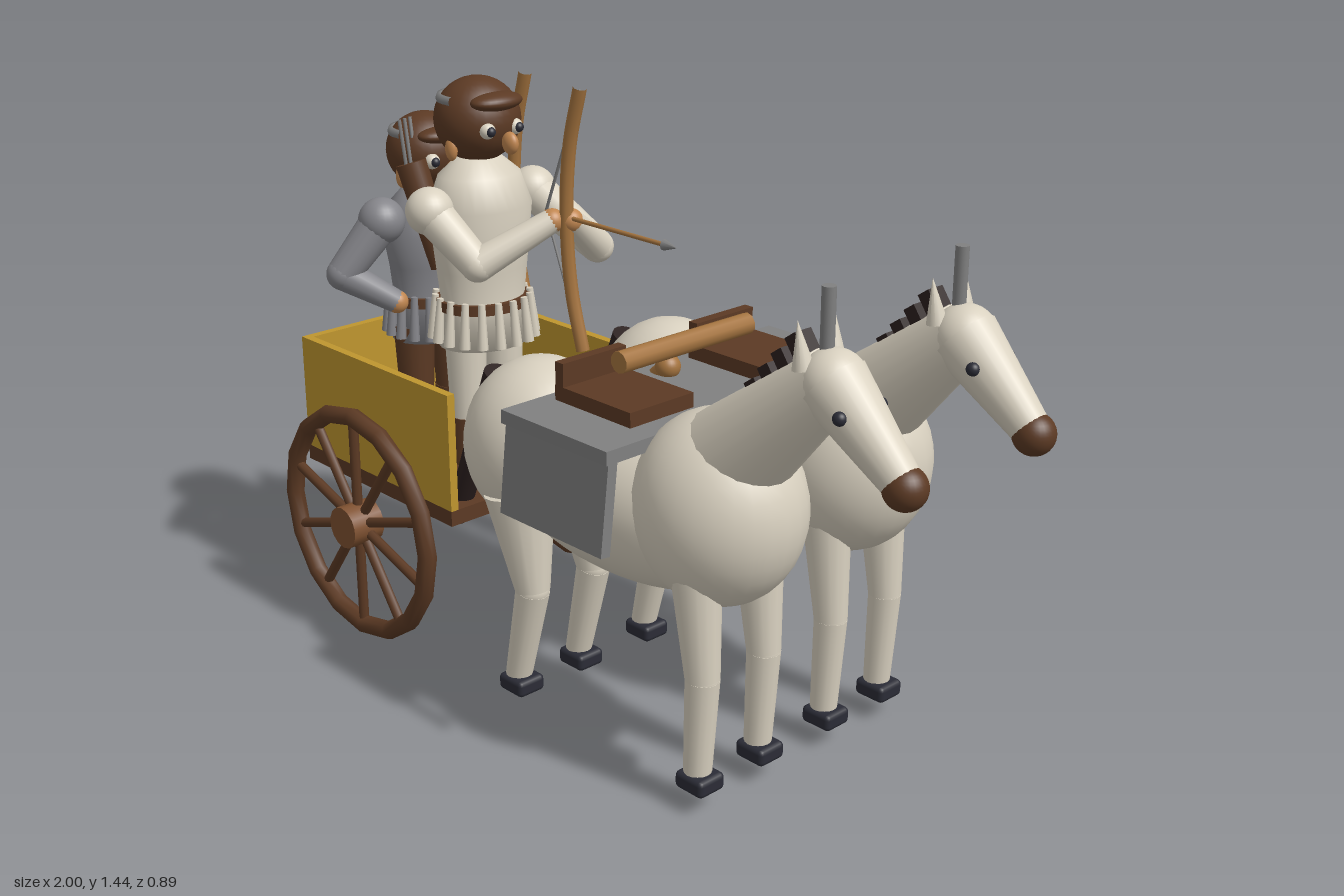
import * as THREE from 'three';
import { RoundedBoxGeometry } from 'three/addons/geometries/RoundedBoxGeometry.js';

const mat = (name, color) => {
  const m = new THREE.MeshStandardMaterial({ color });
  m.name = name;
  return m;
};
const M = {
  cream: mat('cream', 0xd9d1c0), brown: mat('brown', 0x5c3a24), hub: mat('hub brown', 0x7f5130),
  dark: mat('hoof', 0x2b2c36), mane: mat('mane', 0x2b1f1e), grey: mat('tunic grey', 0x85858a),
  cloth: mat('cloth grey', 0x808080), yellow: mat('ochre', 0xbf962f), wood: mat('light wood', 0xa5743f),
  skin: mat('skin', 0xc08650),
};
const V = (a) => new THREE.Vector3(...a);

function add(parent, name, geo, material, pos = [0, 0, 0], rot = [0, 0, 0]) {
  const m = new THREE.Mesh(geo, material);
  m.name = name;
  m.position.set(...pos);
  m.rotation.set(...rot);
  parent.add(m);
  return m;
}
const box = (p, n, m, size, pos, rot) => add(p, n, new THREE.BoxGeometry(...size), m, pos, rot);
function ball(p, n, m, pos, r) {
  const s = Array.isArray(r) ? r : [r, r, r];
  const b = add(p, n, new THREE.SphereGeometry(1, 28, 18), m, pos);
  b.scale.set(...s);
  return b;
}
// Tapered cylinder from point a to point b
function rod(p, n, m, a, b, ra, rb = ra, sides = 16) {
  const A = V(a), B = V(b), d = B.clone().sub(A);
  const r = add(p, n, new THREE.CylinderGeometry(rb, ra, d.length(), sides), m, A.clone().add(B).multiplyScalar(0.5).toArray());
  r.quaternion.setFromUnitVectors(new THREE.Vector3(0, 1, 0), d.normalize());
  return r;
}
const tube = (p, n, m, pts, r) =>
  add(p, n, new THREE.TubeGeometry(new THREE.CatmullRomCurve3(pts.map(V)), 24, r, 8), m);

function makeHorse(z) {
  const g = new THREE.Group();
  g.name = 'horse';
  g.position.z = z;
  // Body
  ball(g, 'rump', M.cream, [-0.12, 0.67, 0], [0.195, 0.21, 0.183]);
  ball(g, 'barrel', M.cream, [0.19, 0.64, 0], [0.42, 0.19, 0.18]);
  ball(g, 'chest', M.cream, [0.46, 0.69, 0], [0.2, 0.22, 0.186]);
  // Neck and head
  rod(g, 'neck', M.cream, [0.47, 0.79, 0], [0.765, 1.06, 0], 0.125, 0.068, 20);
  ball(g, 'poll', M.cream, [0.765, 1.05, 0], 0.072);
  rod(g, 'head', M.cream, [0.765, 1.05, 0], [0.95, 0.89, 0], 0.075, 0.042, 20);
  ball(g, 'muzzle', M.brown, [0.955, 0.885, 0], 0.047);
  for (let i = 0; i < 6; i++) {
    const t = i / 5;
    box(g, 'maneTuft', M.mane, [0.033, 0.062, 0.048], [0.505 + 0.18 * t, 0.9 + 0.205 * t, 0], [0, 0, 0.62]);
  }
  rod(g, 'plume', M.cloth, [0.745, 1.08, 0], [0.745, 1.245, 0], 0.015);
  // Tail
  rod(g, 'tail', M.mane, [-0.28, 0.8, 0], [-0.46, 0.38, 0], 0.036, 0.028);
  ball(g, 'tailTip', M.mane, [-0.46, 0.38, 0], 0.031);
  for (const s of [-1, 1]) {
    ball(g, 'eye', M.dark, [0.835, 1.01, s * 0.06], 0.015);
    add(g, 'ear', new THREE.ConeGeometry(0.024, 0.1, 12), M.cream, [0.72, 1.13, s * 0.05], [s * 0.08, 0, 0.12]);
    const w = s * 0.096;
    // Front leg
    rod(g, 'frontThigh', M.cream, [0.485, 0.6, w], [0.51, 0.33, w], 0.058, 0.039);
    ball(g, 'frontKnee', M.cream, [0.51, 0.33, w], 0.038);
    rod(g, 'frontShin', M.cream, [0.51, 0.33, w], [0.498, 0.09, w], 0.039, 0.032);
    add(g, 'frontHoof', new RoundedBoxGeometry(0.085, 0.042, 0.078, 2, 0.012), M.dark, [0.505, 0.077, w]);
    // Hind leg
    rod(g, 'hindThigh', M.cream, [-0.095, 0.58, w], [-0.055, 0.34, w], 0.085, 0.042);
    ball(g, 'hindKnee', M.cream, [-0.055, 0.34, w], 0.04);
    rod(g, 'hindShin', M.cream, [-0.055, 0.34, w], [-0.115, 0.09, w], 0.041, 0.032);
    add(g, 'hindHoof', new RoundedBoxGeometry(0.085, 0.042, 0.078, 2, 0.012), M.dark, [-0.105, 0.077, w]);
  }
  // Saddle pad with back board
  box(g, 'saddlePad', M.brown, [0.245, 0.035, 0.19], [0.16, 0.86, 0]);
  box(g, 'saddleBoard', M.brown, [0.026, 0.09, 0.19], [0.052, 0.888, 0]);
  return g;
}

function makeWheel(s) {
  const g = new THREE.Group();
  g.name = 'wheel';
  g.position.set(-0.685, 0.323, s * 0.357);
  const rimGeo = new THREE.TorusGeometry(0.29, 0.024, 8, 16);
  add(g, 'rim', rimGeo, M.brown);
  for (let i = 0; i < 10; i++) {
    const a = Math.PI / 2 + (i * Math.PI) / 5;
    rod(g, 'spoke', M.brown, [0, 0, 0], [Math.cos(a) * 0.285, Math.sin(a) * 0.285, 0], 0.013, 0.013, 8);
  }
  add(g, 'hub', new THREE.CylinderGeometry(0.055, 0.055, 0.09, 14), M.hub, [0, 0, s * 0.005], [Math.PI / 2, 0, 0]);
  return g;
}

// Bow stave, curved in the xy plane
const bow = (p, x, z) => tube(p, 'bow', M.wood,
  [[x, 1.445, z], [x - 0.04, 1.3, z], [x - 0.055, 1.12, z], [x - 0.04, 0.94, z], [x, 0.79, z]], 0.017);

// Standing figure facing +x: c = clothes, h = head centre height, w = waist height
function makeRider(name, x, c, h, w, r, hr, arms) {
  const g = new THREE.Group();
  g.name = name;
  const top = h - hr;
  // Torso and skirt, slightly flattened front to back
  const prof = [[0, w - 0.12], [r * 0.95, w - 0.12], [r * 0.88, w], [r * 0.95, w + 0.08], [r * 1.08, top - 0.11], [r * 0.85, top - 0.03], [0.05, top + 0.02], [0, top + 0.02]];
  const torso = add(g, 'torso', new THREE.LatheGeometry(prof.map((q) => new THREE.Vector2(...q)), 28), c, [x, 0, 0]);
  torso.scale.x = 0.82;
  const belt = add(g, 'belt', new THREE.CylinderGeometry(r * 0.96, r * 0.96, 0.026, 28), M.brown, [x, w - 0.01, 0]);
  belt.scale.x = 0.88;
  for (let i = 0; i < 18; i++) {
    const a = (i / 18) * Math.PI * 2, dx = Math.cos(a), dz = Math.sin(a);
    rod(g, 'skirtTassel', c, [x + dx * r * 1.02, w - 0.105, dz * r * 1.02], [x + dx * r * 0.93, w + 0.01, dz * r * 0.93], 0.014, 0.009, 8);
  }
  // Head and face
  ball(g, 'neck', M.skin, [x, top, 0], 0.05);
  ball(g, 'head', M.brown, [x, h, 0], [hr, hr, hr * 1.04]);
  const band = add(g, 'headband', new THREE.TorusGeometry(hr * 0.87, 0.009, 6, 28, Math.PI * 1.1), M.cloth, [x, h + hr * 0.5, 0], [Math.PI / 2, 0, Math.PI * 0.45]);
  band.scale.z = 1.5;
  ball(g, 'fringe', M.brown, [x + hr * 0.72, h + hr * 0.5, 0], [hr * 0.42, hr * 0.22, hr * 0.7]);
  ball(g, 'nose', M.skin, [x + hr + 0.02, h - hr * 0.4, 0], [0.025, 0.028, 0.017]);
  for (const s of [-1, 1]) {
    ball(g, 'eyeWhite', M.cream, [x + hr * 0.87, h - 0.012, s * 0.043], 0.02);
    ball(g, 'pupil', M.dark, [x + hr * 0.87 + 0.014, h - 0.012, s * 0.044], 0.0125);
    ball(g, 'ear', M.skin, [x + 0.01, h - hr * 0.58, s * hr * 0.86], [0.018, 0.03, 0.014]);
    // Legs and boots
    rod(g, 'leg', c === M.cream ? c : M.brown, [x, 0.56, s * 0.06], [x, w - 0.08, s * 0.06], 0.045, 0.055);
    rod(g, 'bootShaft', M.brown, [x, 0.44, s * 0.06], [x, 0.57, s * 0.06], 0.044, 0.048);
    ball(g, 'boot', M.brown, [x + 0.03, 0.46, s * 0.06], [0.07, 0.032, 0.042]);
  }
  // Arms: shoulder, elbow, hand
  for (const [a, b, d] of arms) {
    ball(g, 'shoulder', c, a, 0.06);
    rod(g, 'upperArm', c, a, b, 0.052, 0.042);
    ball(g, 'elbow', c, b, 0.042);
    rod(g, 'forearm', c, b, d, 0.042, 0.03);
    ball(g, 'hand', M.skin, d, 0.03);
  }
  return g;
}

export function createModel() {
  const root = new THREE.Group();
  root.name = 'chariot';
  for (const s of [-1, 1]) {
    root.add(makeHorse(s * 0.208), makeWheel(s));
    // Side walls and hanging cloth
    box(root, 'sideWall', M.yellow, [0.62, 0.305, 0.022], [-0.69, 0.582, s * 0.278]);
    box(root, 'clothFlap', M.cloth, [0.335, 0.235, 0.026], [0.173, 0.715, s * 0.417], [-s * 0.11, 0, 0]);
  }
  // Cart
  box(root, 'backWall', M.yellow, [0.022, 0.305, 0.55], [-0.989, 0.582, 0]);
  box(root, 'floor', M.brown, [0.62, 0.04, 0.578], [-0.69, 0.41, 0]);
  // Shared cloth, yoke and pole
  box(root, 'clothTop', M.cloth, [0.345, 0.032, 0.86], [0.174, 0.826, 0]);
  rod(root, 'yoke', M.wood, [0.14, 0.932, -0.205], [0.14, 0.932, 0.205], 0.026, 0.026, 10);
  rod(root, 'pole', M.wood, [-0.42, 0.4, 0], [0.09, 0.86, 0], 0.03, 0.026, 12);
  ball(root, 'poleCap', M.wood, [0.085, 0.86, 0], 0.03);

  // Archer
  const archer = makeRider('archer', -0.595, M.cream, 1.335, 0.88, 0.13, 0.106, [
    [[-0.585, 1.13, 0.165], [-0.46, 1.01, 0.12], [-0.37, 1.11, -0.045]],
    [[-0.585, 1.13, -0.165], [-0.39, 1.01, -0.21], [-0.34, 1.11, -0.08]],
  ]);
  bow(archer, -0.285, -0.065);
  const nock = [-0.42, 1.12, -0.068];
  for (const y of [1.44, 0.795]) rod(archer, 'bowString', M.cloth, [-0.285, y, -0.065], nock, 0.004, 0.004, 6);
  rod(archer, 'arrowShaft', M.wood, nock, [0, 1.12, -0.068], 0.006, 0.006, 8);
  rod(archer, 'arrowHead', M.cloth, [0, 1.12, -0.068], [0.04, 1.12, -0.068], 0.014, 0.001, 8);
  // Quiver on the archer's back
  rod(archer, 'quiver', M.brown, [-0.675, 0.95, 0.06], [-0.755, 1.21, 0.09], 0.034, 0.04, 14);
  for (const k of [-1, 0, 1]) {
    rod(archer, 'spareArrow', M.cloth, [-0.755, 1.2, 0.09 + k * 0.015], [-0.775 + k * 0.008, 1.32, 0.09 + k * 0.022], 0.005, 0.005, 6);
  }
  root.add(archer);

  // Attendant with hands on hips
  const arms = [-1, 1].map((s) => [[-0.81, 1.06, s * 0.15], [-0.85, 0.93, s * 0.25], [-0.775, 0.85, s * 0.14]]);
  const attendant = makeRider('attendant', -0.815, M.grey, 1.222, 0.845, 0.118, 0.098, arms);
  bow(attendant, -0.63, -0.185).position.y = -0.025;
  root.add(attendant);
  return root;
}
